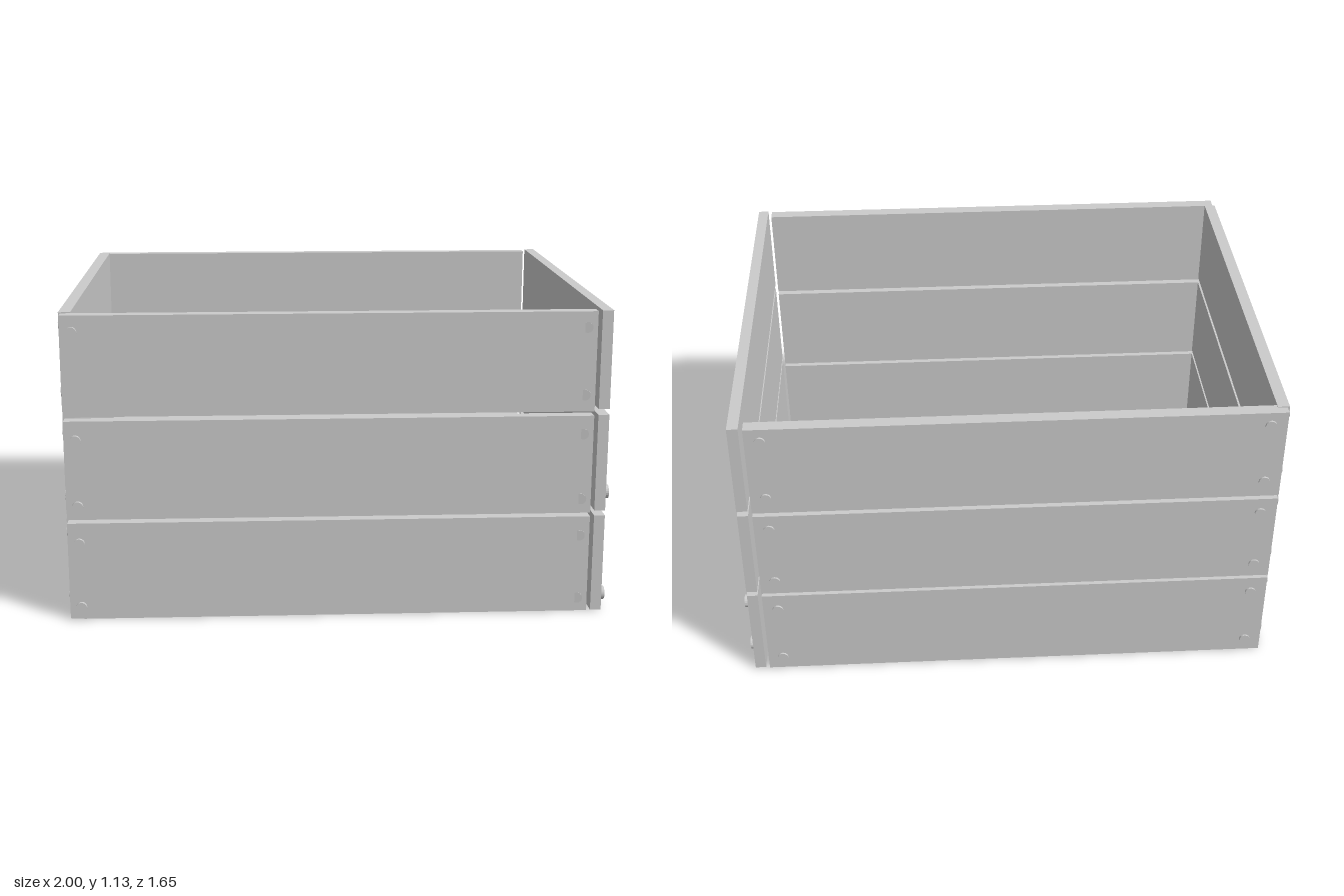
import * as THREE from 'three';

const material = new THREE.MeshStandardMaterial({ color: 0xcccccc, flatShading: true });

// Box given by its lower and upper bounds on each axis
function plank(name, [x0, x1], [y0, y1], [z0, z1]) {
  const mesh = new THREE.Mesh(new THREE.BoxGeometry(x1 - x0, y1 - y0, z1 - z0), material);
  mesh.name = name;
  mesh.position.set((x0 + x1) / 2, (y0 + y1) / 2, (z0 + z1) / 2);
  return mesh;
}

// Bolt head whose outer cap lies at the given point, facing along the normal
function bolt(name, cap, normal, radius, depth) {
  const mesh = new THREE.Mesh(new THREE.CylinderGeometry(radius, radius, depth, 20), material);
  mesh.name = name;
  mesh.quaternion.setFromUnitVectors(new THREE.Vector3(0, 1, 0), normal);
  mesh.position.copy(cap).addScaledVector(normal, -depth / 2);
  return mesh;
}

export function createModel() {
  const crate = new THREE.Group();
  crate.name = 'crate';

  // Three tiers of wall planks; the end walls sit a hair higher than the long walls
  const tiers = [[0.003, 0.368], [0.382, 0.748], [0.764, 1.13]];
  for (const [bottom, top] of tiers) {
    const endBottom = bottom > 0.1 ? bottom + 0.008 : bottom;
    crate.add(
      plank('frontPlank', [-0.98, 0.925], [bottom, top], [0.752, 0.8]),
      plank('backPlank', [-0.98, 0.925], [bottom, top], [-0.818, -0.77]),
      plank('leftPlank', [0.94, 0.98], [endBottom, top + 0.003], [-0.815, 0.8]),
      plank('rightPlank', [-0.988, -0.945], [endBottom, top + 0.003], [-0.785, 0.748])
    );
  }

  // Four floor boards with narrow gaps
  for (const span of [[-0.795, -0.405], [-0.39, -0.005], [0.005, 0.395], [0.412, 0.795]]) {
    crate.add(plank('floorBoard', [-0.932, 0.925], [0, 0.045], span));
  }

  // Two bolts per plank end on every wall
  const heights = [0.052, 0.295, 0.435, 0.68, 0.825, 1.072];
  const front = new THREE.Vector3(0, 0, 1), back = new THREE.Vector3(0, 0, -1);
  const left = new THREE.Vector3(1, 0, 0), right = new THREE.Vector3(-1, 0, 0);
  const tilted = new THREE.Vector3(-0.12, 0, 1).normalize();
  heights.forEach((y, i) => {
    if (i !== 4) crate.add(bolt('frontBolt', new THREE.Vector3(-0.938, y, 0.822), front, 0.02, 0.012));
    crate.add(
      bolt('frontBolt', new THREE.Vector3(0.888, y, 0.801), tilted, 0.02, 0.02),
      bolt('backBolt', new THREE.Vector3(-0.92, y + 0.006, -0.825), back, 0.02, 0.025),
      bolt('backBolt', new THREE.Vector3(0.87, y + 0.006, -0.825), back, 0.02, 0.025),
      bolt('rightBolt', new THREE.Vector3(-1, y + 0.006, -0.733), right, 0.024, 0.025),
      bolt('rightBolt', new THREE.Vector3(-0.998, y + 0.006, 0.66), right, 0.024, 0.025)
    );
  });

  // Left wall bolts: [z, y, cap x]
  const leftBolts = [
    [0.742, 0.05, 1], [0.74, 0.445, 1], [-0.733, 0.06, 0.998], [-0.735, 0.278, 1],
    [-0.735, 0.84, 0.984], [-0.735, 1.075, 0.984]
  ];
  for (const [z, y, x] of leftBolts) {
    crate.add(bolt('leftBolt', new THREE.Vector3(x, y, z), left, 0.025, 0.03));
  }

  return crate;
}
